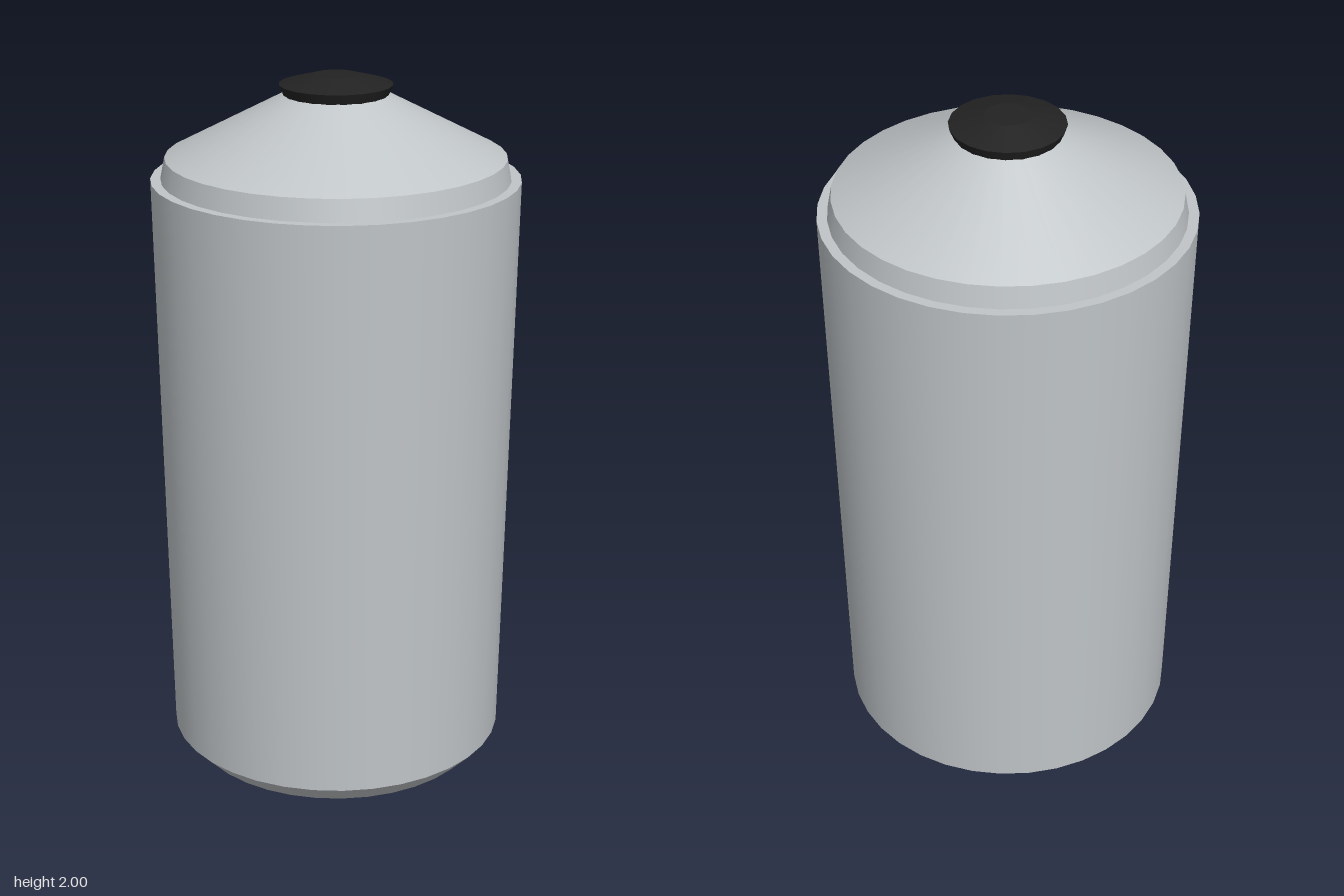
import * as THREE from 'three';
import { mergeGeometries } from 'three/addons/utils/BufferGeometryUtils.js';

// Revolves each profile span separately, so the round is smooth and the rims stay sharp
function turned(name, profile, sides, material) {
  const bands = profile.slice(1).map((end, i) =>
    new THREE.LatheGeometry([new THREE.Vector2(...profile[i]), new THREE.Vector2(...end)], sides));
  const mesh = new THREE.Mesh(mergeGeometries(bands), material);
  mesh.name = name;
  return mesh;
}

export function createModel() {
  const metal = new THREE.MeshStandardMaterial({ color: 0xc0c5c8 });
  metal.name = 'grey metal';
  const black = new THREE.MeshStandardMaterial({ color: 0x222222 });
  black.name = 'black plastic';

  const model = new THREE.Group();
  model.name = 'canister';

  // Tapered body with a bevelled foot and a flat upper rim
  model.add(turned('body',
    [[0, 0], [0.425, 0], [0.484, 0.06], [0.512, 1.715], [0.484, 1.715]], 36, metal));

  // Stepped collar and conical shoulder
  model.add(turned('shoulder',
    [[0.484, 1.715], [0.472, 1.775], [0.14, 1.948], [0, 1.948]], 36, metal));

  // Small faceted cap
  model.add(turned('cap',
    [[0, 1.945], [0.144, 1.945], [0.157, 1.974], [0.062, 2], [0, 2]], 20, black));

  return model;
}
